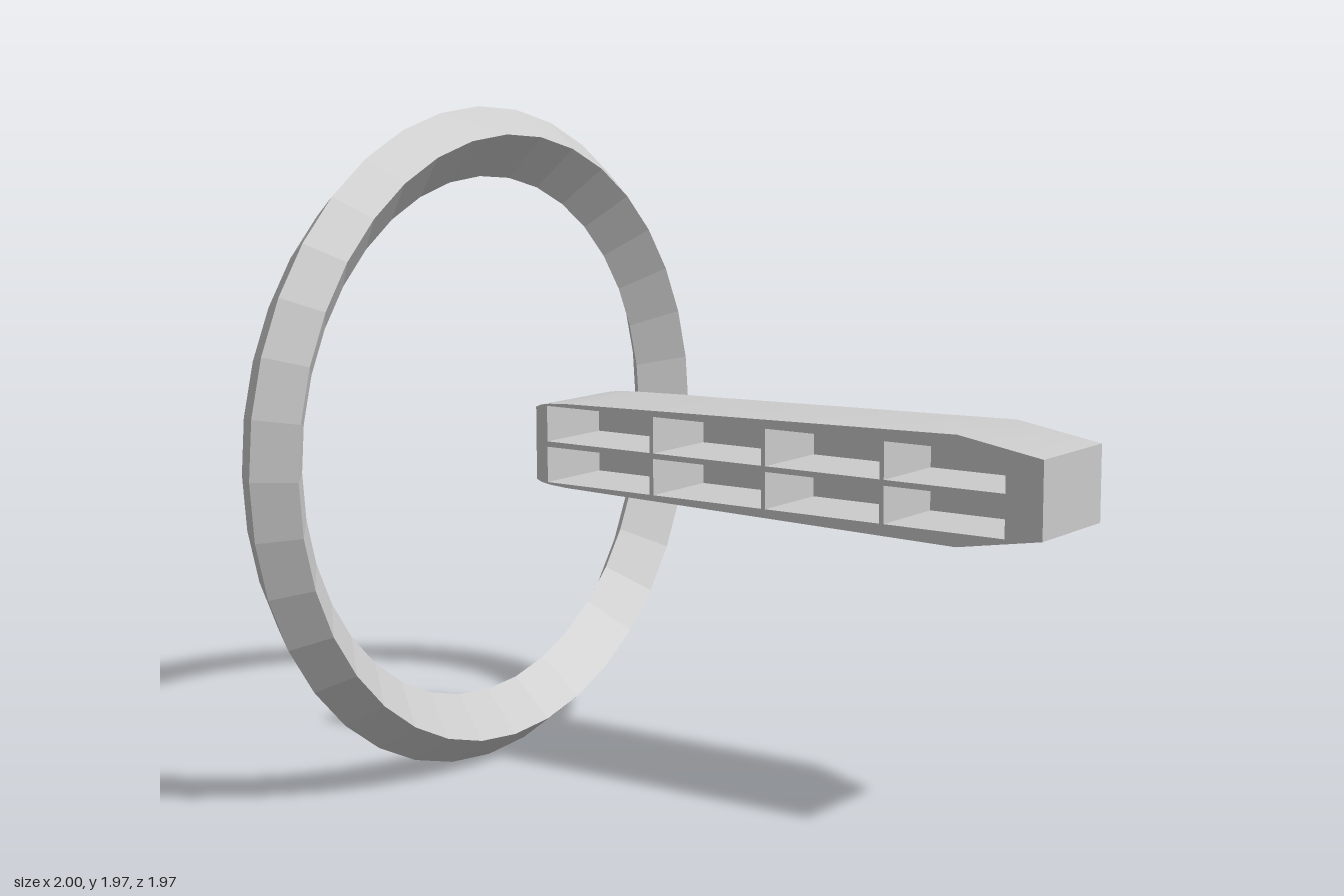
import * as THREE from 'three';
import { toCreasedNormals } from 'three/addons/utils/BufferGeometryUtils.js';

const CY = 0.986;

// Half height of the handle along x
const PROFILE = [[-0.69, 0.108], [-0.672, 0.116], [-0.64, 0.121], [-0.58, 0.125], [0.74, 0.152], [1, 0.109]];
function halfHeight(x) {
  const i = Math.max(1, PROFILE.findIndex((p) => p[0] >= x));
  const [x0, h0] = PROFILE[i - 1], [x1, h1] = PROFILE[i];
  return h0 + (h1 - h0) * (x - x0) / (x1 - x0);
}

// Depth of the handle behind its front face: rounded corner, straight back, cut tip
function backDepth(x) {
  if (x < -0.41) return 0.27 + 0.185 * Math.sqrt(Math.max(0, 1 - ((-0.41 - x) / 0.28) ** 2));
  return x > 0.74 ? 0.455 - 0.125 * (x - 0.74) / 0.26 : 0.455;
}

// Hexagonal sections lofted along x, with end caps and an open front
function handleShell() {
  const xs = [];
  for (let i = 0; i <= 8; i++) xs.push(-0.41 - 0.28 * Math.cos(i / 8 * Math.PI / 2));
  xs.push(0.74, 1);
  const positions = [], index = [];
  for (const x of xs) {
    const h = halfHeight(x), zo = backDepth(x), zi = Math.min(0.33, zo - 0.002), r = Math.min(0.109, h);
    for (const [z, y] of [[0, h], [-zi, h], [-zo, r], [-zo, -r], [-zi, -h], [0, -h]]) {
      positions.push(x, CY + y, z);
    }
  }
  for (let i = 0; i < xs.length - 1; i++) {
    for (let k = 0; k < 5; k++) {
      const a = i * 6 + k, b = a + 6;
      index.push(a, b, b + 1, a, b + 1, a + 1);
    }
  }
  const last = (xs.length - 1) * 6;
  for (let k = 1; k < 5; k++) {
    index.push(0, k, k + 1);
    index.push(last, last + k + 1, last + k);
  }
  const g = new THREE.BufferGeometry();
  g.setAttribute('position', new THREE.Float32BufferAttribute(positions, 3));
  g.setIndex(index);
  return toCreasedNormals(g, 0.3);
}

export function createModel() {
  const model = new THREE.Group();
  const grey = new THREE.MeshStandardMaterial({ color: 0xcccccc });
  const faceted = new THREE.MeshStandardMaterial({ color: 0xcccccc, flatShading: true });
  const inward = new THREE.MeshStandardMaterial({ color: 0xcccccc, side: THREE.BackSide });
  const add = (parent, name, geometry, material) => {
    const mesh = new THREE.Mesh(geometry, material);
    mesh.name = name;
    parent.add(mesh);
    return mesh;
  };

  // Ring with a diamond cross-section, axis along x
  const section = [[0.905, -0.107], [0.985, 0], [0.905, 0.107], [0.78, 0], [0.905, -0.107]];
  const ring = add(model, 'ring',
    new THREE.LatheGeometry(section.map(([r, y]) => new THREE.Vector2(r, y)), 36), faceted);
  ring.rotation.z = Math.PI / 2;
  ring.position.set(-0.893, CY, 0);

  // Handle body
  const handle = new THREE.Group();
  handle.name = 'handle';
  model.add(handle);
  add(handle, 'handleShell', handleShell(), grey);

  // Front face with two rows of four pockets
  const outline = [
    ...PROFILE.map(([x, h]) => new THREE.Vector2(x, CY - h)),
    ...PROFILE.map(([x, h]) => new THREE.Vector2(x, CY + h)).reverse(),
  ];
  const face = new THREE.Shape(outline);
  const w = 0.374, h = 0.106, depth = 0.25;
  for (let col = 0; col < 4; col++) {
    for (const side of [-1, 1]) {
      const x = -0.462 + col * 0.3875, y = CY + side * 0.061;
      face.holes.push(new THREE.Path([
        new THREE.Vector2(x - w / 2, y - h / 2), new THREE.Vector2(x - w / 2, y + h / 2),
        new THREE.Vector2(x + w / 2, y + h / 2), new THREE.Vector2(x + w / 2, y - h / 2),
      ]));
      // Box seen from inside, without its front (+z) side
      const box = new THREE.BoxGeometry(w, h, depth);
      const idx = Array.from(box.index.array);
      idx.splice(24, 6);
      box.setIndex(idx);
      box.clearGroups();
      add(handle, 'pocket', box, inward).position.set(x, y, -depth / 2);
    }
  }
  add(handle, 'frontFace', new THREE.ShapeGeometry(face), grey);
  return model;
}
